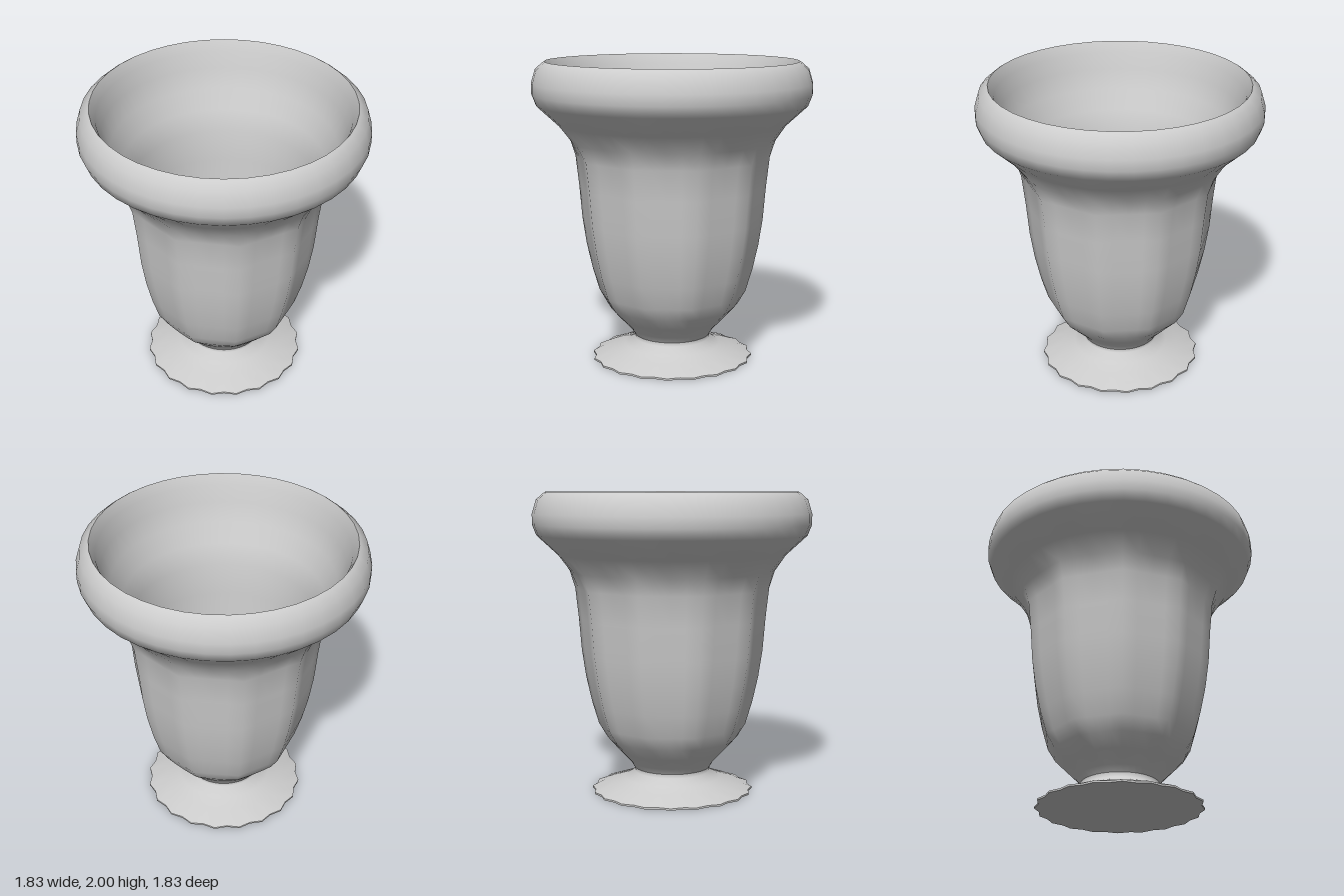
import * as THREE from 'three';
import { mergeVertices } from 'three/addons/utils/BufferGeometryUtils.js';

const SEGMENTS = 40;
const FLUTES = 10;
const material = new THREE.MeshStandardMaterial({ color: 0xcccccc });

// Revolve a profile of [radius, y] pairs; shape(angle, y, radius) scales each radius
function revolve(name, profile, shape = () => 1) {
  const points = profile.map(([r, y]) => new THREE.Vector2(r, y));
  const lathe = new THREE.LatheGeometry(points, SEGMENTS);
  lathe.deleteAttribute('uv');
  lathe.deleteAttribute('normal');
  const pos = lathe.attributes.position;
  for (let i = 0; i < pos.count; i++) {
    const x = pos.getX(i), y = pos.getY(i), z = pos.getZ(i);
    const k = shape(Math.atan2(x, z), y, Math.hypot(x, z));
    pos.setXYZ(i, x * k, y, z * k);
  }
  // Welding the seam keeps the shading smooth all round
  const geometry = mergeVertices(lathe, 1e-4);
  geometry.computeVertexNormals();
  const mesh = new THREE.Mesh(geometry, material);
  mesh.name = name;
  return mesh;
}

// Ten flat panels around the bowl, fading out towards the rim and the stem
function flute(angle, y) {
  const step = (2 * Math.PI) / FLUTES;
  const a = angle - Math.round(angle / step) * step;
  const panel = Math.cos(step / 2) / Math.cos(a);
  const fade = THREE.MathUtils.smoothstep(y, 0.2, 0.45) * (1 - THREE.MathUtils.smoothstep(y, 1.36, 1.6));
  return 1 + (panel - 1) * fade;
}

// Twenty small scallops along the outer edge of the foot
function scallop(angle, y, radius) {
  return radius > 0.5 ? 1 - 0.02 * (1 - Math.cos(20 * angle)) : 1;
}

export function createModel() {
  const group = new THREE.Group();
  group.name = 'footedGlass';

  // Fluted outside with a bulging rim
  group.add(revolve('bowlOutside', [
    [0.25, 0.15], [0.28, 0.2], [0.36, 0.28], [0.44, 0.36], [0.495, 0.45], [0.54, 0.6],
    [0.578, 0.77], [0.605, 0.95], [0.623, 1.17], [0.645, 1.37], [0.68, 1.48], [0.75, 1.59],
    [0.89, 1.72], [0.917, 1.79], [0.917, 1.86], [0.89, 1.95], [0.845, 1.99], [0.83, 2],
  ], flute));

  // Flared inner wall and rounded floor
  group.add(revolve('bowlInside', [
    [0.83, 2], [0.795, 1.93], [0.765, 1.82], [0.72, 1.69], [0.65, 1.56], [0.6, 1.42],
    [0.575, 1.2], [0.555, 0.95], [0.53, 0.77], [0.49, 0.6], [0.43, 0.47], [0.34, 0.38],
    [0.2, 0.31], [0, 0.28],
  ]));

  // Spreading foot with a short waist
  group.add(revolve('foot', [
    [0.54, 0.012], [0.47, 0.035], [0.4, 0.06], [0.32, 0.09], [0.25, 0.13], [0.258, 0.175],
  ], scallop));
  group.add(revolve('footEdge', [[0.54, 0], [0.54, 0.012]], scallop));
  group.add(revolve('footUnderside', [[0, 0], [0.54, 0]], scallop));

  return group;
}
